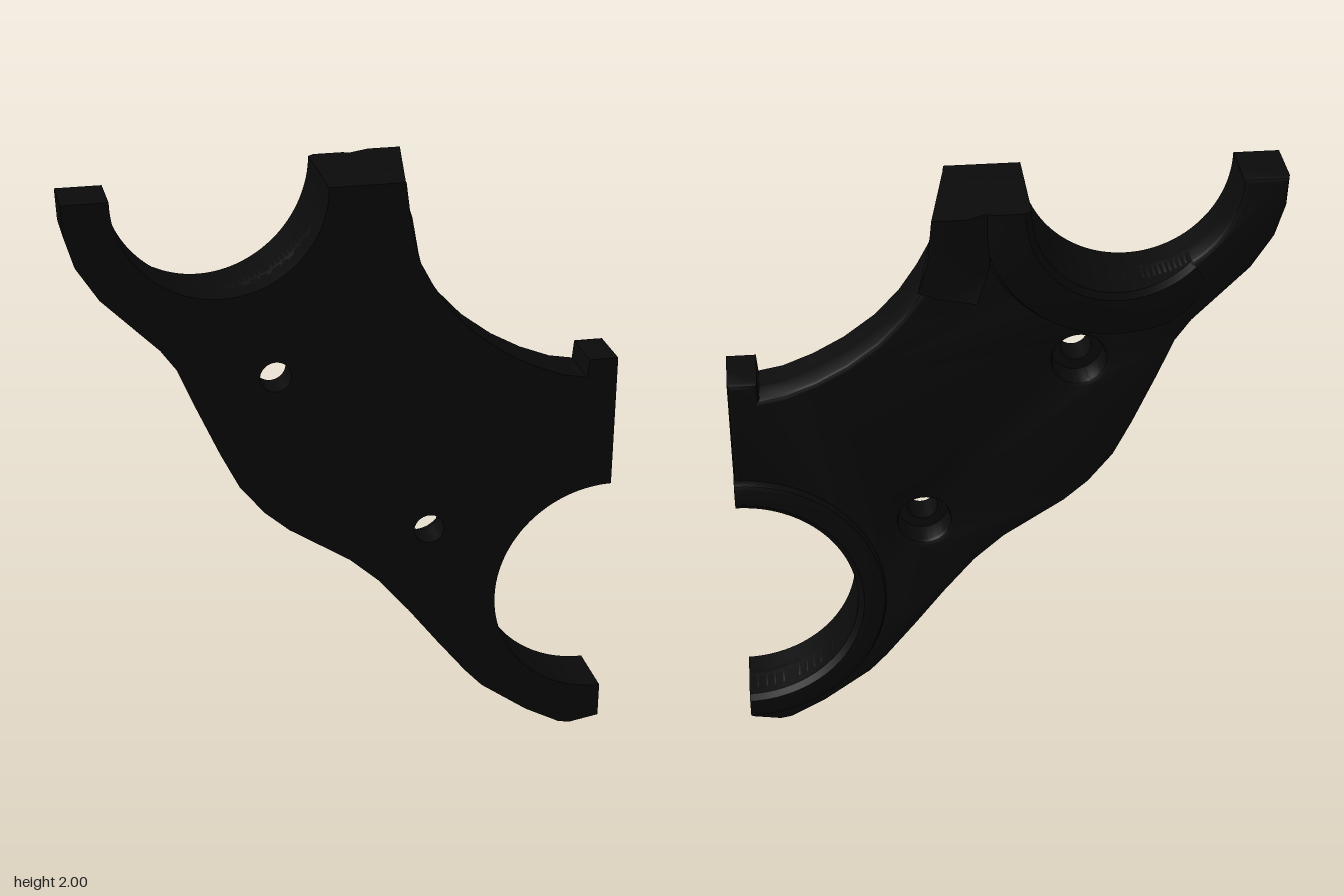
import * as THREE from 'three';
import { toCreasedNormals } from 'three/addons/utils/BufferGeometryUtils.js';

const black = new THREE.MeshStandardMaterial({ color: 0x0a0a0a });
black.name = 'black';

const UPPER = { x: -0.405, y: 2.0, r: 0.335 };
const LOWER = { x: 0.88, y: 0.525, r: 0.385 };

// Outline of the plate, with both saddles and two bolt holes
function plateShape(holeRadius) {
  const left = [[-0.885, 2], [-0.88, 1.9], [-0.85, 1.8], [-0.78, 1.69], [-0.6, 1.51], [-0.55, 1.44],
    [-0.5, 1.32], [-0.42, 1.14], [-0.36, 1.02], [-0.28, 0.92], [-0.2, 0.85], [-0.1, 0.785], [0, 0.72],
    [0.1, 0.63], [0.2, 0.51], [0.3, 0.38], [0.4, 0.255], [0.46, 0.19], [0.62, 0.075], [0.74, 0.01],
    [0.78, 0.003], [0.88, 0.02]];
  const right = [[0.88, 1.36], [0.785, 1.36], [0.78, 1.3], [0.7, 1.315], [0.6, 1.355], [0.5, 1.41],
    [0.4, 1.485], [0.32, 1.57], [0.26, 1.66], [0.22, 1.735], [0.19, 1.85], [0.17, 2]];
  const s = new THREE.Shape();
  left.forEach(([x, y], i) => (i ? s.lineTo(x, y) : s.moveTo(x, y)));
  s.absarc(LOWER.x, LOWER.y, LOWER.r, 1.5 * Math.PI, 0.5 * Math.PI, true);
  right.forEach(([x, y]) => s.lineTo(x, y));
  s.absarc(UPPER.x, UPPER.y, UPPER.r, 0, -Math.PI, true);
  for (const [x, y] of [[-0.24, 1.39], [0.265, 0.805]]) {
    const hole = new THREE.Path();
    hole.absarc(x, y, holeRadius, 0, Math.PI * 2, true);
    s.holes.push(hole);
  }
  return s;
}

// Curved rim: sweeps a cross-section of [radius, z] points about a centre
function sweepRim(c, a0, a1, steps, section) {
  const pos = [], index = [];
  let n = 0;
  for (let k = 0; k <= steps; k++) {
    const a = a0 + ((a1 - a0) * k) / steps;
    const pts = section(a);
    n = pts.length;
    for (const [r, z] of pts) pos.push(c.x + r * Math.cos(a), c.y + r * Math.sin(a), z);
  }
  for (let k = 0; k < steps; k++) {
    for (let i = 0; i < n; i++) {
      const j = (i + 1) % n, p = k * n, q = p + n;
      index.push(p + i, q + i, q + j, p + i, q + j, p + j);
    }
  }
  const e = steps * n;
  for (let i = 1; i < n - 1; i++) index.push(0, i, i + 1, e, e + i + 1, e + i);
  const g = new THREE.BufferGeometry();
  g.setAttribute('position', new THREE.Float32BufferAttribute(pos, 3));
  g.setIndex(index);
  return g;
}

// Section of a rim from inside the plate back to zBack
function rimSection(ri, ro, zBack, round) {
  return [[ri, 0.06], [ri, zBack + 0.015], [ri + 0.02, zBack], [ro - round, zBack],
    [ro - round * 0.3, zBack + round * 0.35], [ro, zBack + round], [ro, 0.06]];
}

export function createModel() {
  const group = new THREE.Group();
  const add = (name, geometry) => {
    // The whole bracket leans very slightly
    const p = geometry.attributes.position;
    for (let i = 0; i < p.count; i++) p.setZ(i, p.getZ(i) + 0.0145 * (p.getY(i) - 1));
    geometry.deleteAttribute('normal');
    const mesh = new THREE.Mesh(toCreasedNormals(geometry, 0.6), black);
    mesh.name = name;
    group.add(mesh);
  };

  // Front layer with narrow bolt holes
  const front = new THREE.ExtrudeGeometry(plateShape(0.05), { depth: 0.1, bevelEnabled: false, curveSegments: 32 });
  front.translate(0, 0, 0.07);
  add('frontPlate', front);

  // Back layer with softened edge and wide counterbores
  const back = new THREE.ExtrudeGeometry(plateShape(0.085), {
    depth: 0.09, bevelEnabled: true, bevelThickness: 0.018, bevelSize: 0.016, bevelOffset: -0.016,
    bevelSegments: 2, curveSegments: 32,
  });
  add('backPlate', back);

  // Upper saddle rim, rising towards the centre
  add('upperRim', sweepRim(UPPER, -2.16, 0, 40, (a) => {
    const t = Math.max(0, Math.min(1, (UPPER.x + 0.4 * Math.cos(a) + 0.66) / 0.64));
    return rimSection(UPPER.r, 0.45 + 0.05 * Math.min(1, t * 4), -0.17 * t ** 0.7, 0.05);
  }));

  // Lower saddle rim, even height
  add('lowerRim', sweepRim(LOWER, Math.PI / 2, 1.5 * Math.PI, 40,
    () => rimSection(LOWER.r, 0.48, -0.05, 0.02)));

  // Deep lug beside the upper saddle, widening towards the back
  const lugShape = new THREE.Shape([[0.04, 2], [0.06, 1.8], [0.1, 1.71], [0.22, 1.735], [0.28, 1.76],
    [0.25, 1.85], [0.235, 2], [0.13, 2]].map(([x, y]) => new THREE.Vector2(x, y)));
  const lug = new THREE.ExtrudeGeometry(lugShape, { depth: 0.355, bevelEnabled: false });
  lug.translate(0, 0, -0.19);
  const p = lug.attributes.position;
  for (let i = 0; i < p.count; i++) {
    const x = p.getX(i);
    if (p.getZ(i) > 0) {
      if (x > 0.2) p.setX(i, x - 0.066);
    } else if (x < 0.09) p.setZ(i, -0.15);
  }
  add('upperLug', lug);

  return group;
}
